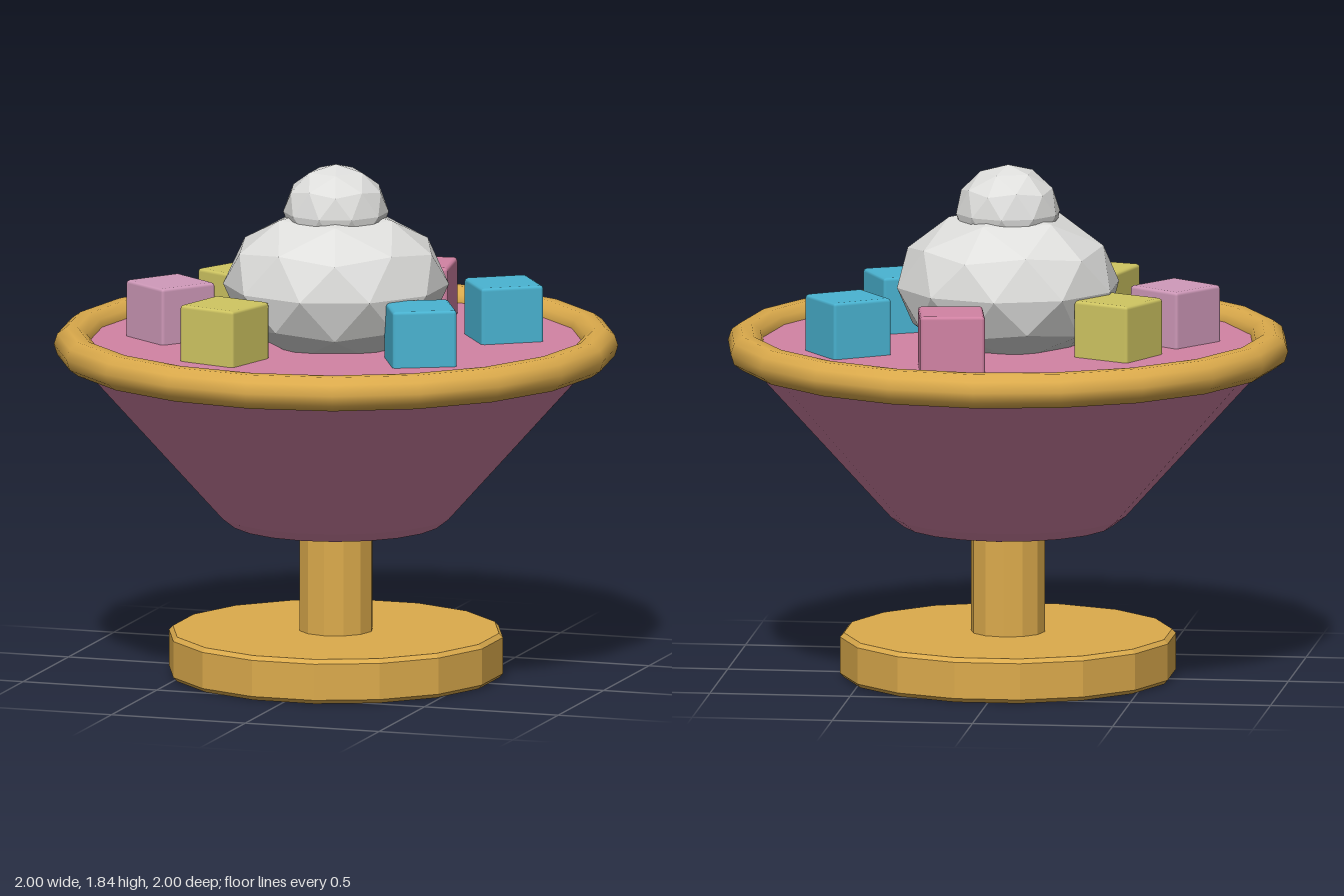
import * as THREE from 'three';
import { RoundedBoxGeometry } from 'three/addons/geometries/RoundedBoxGeometry.js';

const colour = (name, hex) => {
  const m = new THREE.MeshStandardMaterial({ color: hex });
  m.name = name;
  return m;
};

// Gives every face its own normal
function faceted(geometry) {
  const g = geometry.index ? geometry.toNonIndexed() : geometry;
  g.computeVertexNormals();
  return g;
}

// Faceted solid of revolution from [radius, y] pairs, listed bottom to top
function turned(profile, sides, offset = 0) {
  const points = profile.map(([r, y]) => new THREE.Vector2(r, y));
  return faceted(new THREE.LatheGeometry(points, sides, offset));
}

// Low-poly scoop standing on its pole, slightly squashed
function scoop(radius, halfHeight) {
  const g = new THREE.IcosahedronGeometry(1, 1);
  g.rotateZ(-Math.atan(2 / (1 + Math.sqrt(5))));
  g.scale(radius, halfHeight, radius);
  return faceted(g);
}

export function createModel() {
  const group = new THREE.Group();
  const gold = colour('gold', 0xdcab4c);
  const pink = colour('pink', 0xd283a4);
  const white = colour('white', 0xdededc);
  const yellow = colour('yellow', 0xd0c662);
  const blue = colour('blue', 0x4ab4d2);
  const mauve = colour('mauve', 0xd09aba);

  const add = (name, geometry, material, x = 0, y = 0, z = 0) => {
    const mesh = new THREE.Mesh(geometry, material);
    mesh.name = name;
    mesh.position.set(x, y, z);
    group.add(mesh);
    return mesh;
  };

  // Foot and stem
  add('foot', turned([[0, 0.005], [0.582, 0.005], [0.596, 0.02], [0.596, 0.15], [0.582, 0.165], [0, 0.165]],
    16, Math.PI / 16), gold);
  add('stem', turned([[0.132, 0.15], [0.132, 0.56]], 12), gold);

  // Bowl, closed by the level filling
  add('bowl', turned([[0, 0.54], [0.32, 0.54], [0.375, 0.55], [0.42, 0.585], [0.93, 1.15], [0.93, 1.2], [0, 1.2]], 20), pink);

  // Rounded rim
  const rim = new THREE.TorusGeometry(0.935, 0.064, 10, 20);
  rim.rotateX(Math.PI / 2);
  add('rim', rim, gold, 0, 1.19, 0);

  // Scoops
  add('largeScoop', scoop(0.4, 0.28), white, 0, 1.41, 0);
  add('smallScoop', scoop(0.187, 0.17), white, 0, 1.67, 0);

  // Sweet cubes: material, x, z, turn
  const cube = new RoundedBoxGeometry(0.23, 0.23, 0.23, 1, 0.012);
  [
    [pink, 0.134, -0.536, 0.165],
    [blue, 0.536, -0.27, 0.607],
    [yellow, -0.42, -0.214, 1.097],
    [mauve, -0.584, 0.102, 0.937],
    [yellow, -0.265, 0.448, -0.28],
    [blue, 0.405, 0.263, 0.464],
  ].forEach(([material, x, z, turn], i) => {
    add(`sweetCube${i + 1}`, cube, material, x, 1.287, z).rotation.y = turn;
  });

  return group;
}
